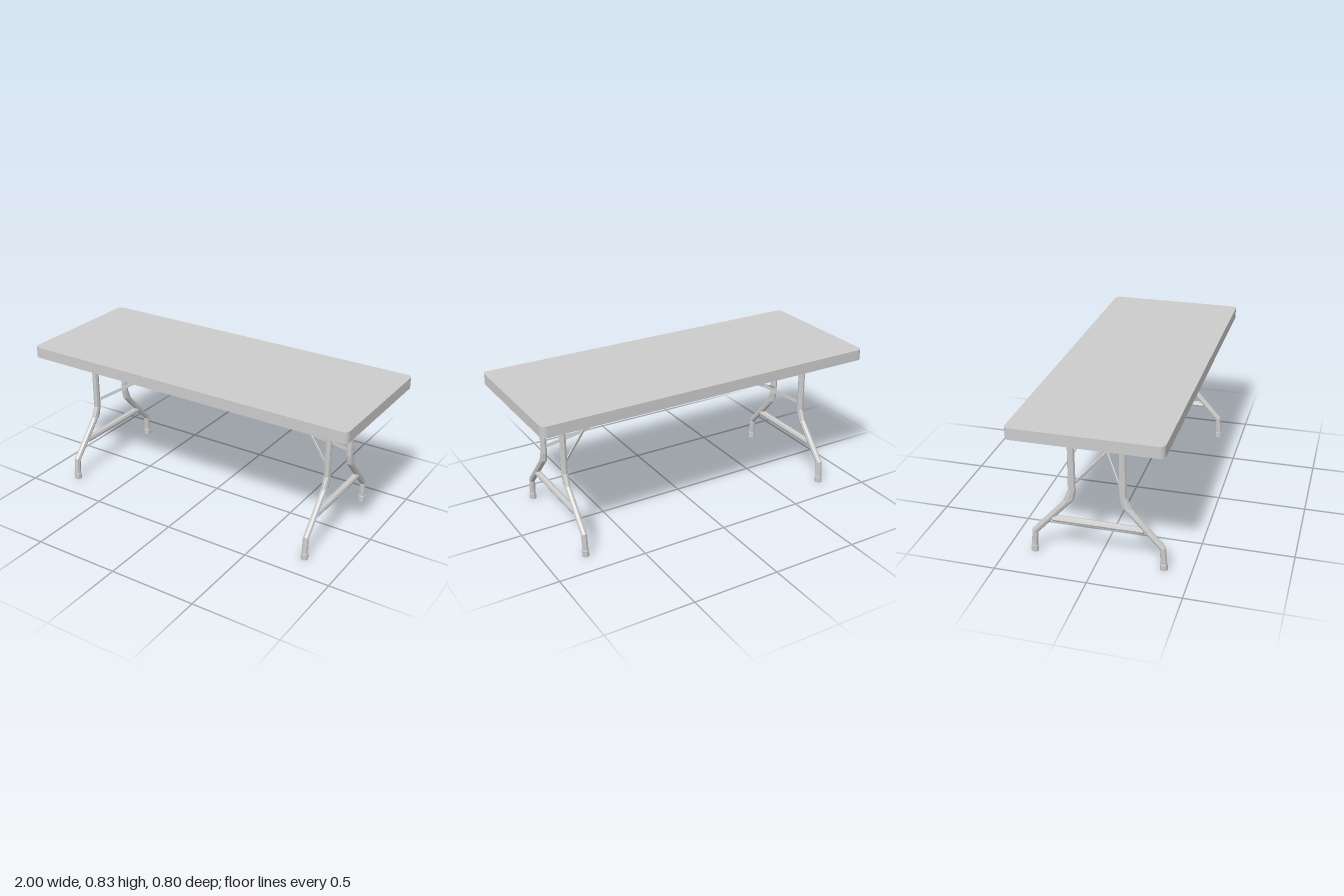
import * as THREE from 'three';

const material = new THREE.MeshStandardMaterial({ color: 0xcccccc, flatShading: true });

function part(name, geometry, parent) {
  const mesh = new THREE.Mesh(geometry, material);
  mesh.name = name;
  parent.add(mesh);
  return mesh;
}

// Lofts a low-poly tube through rings [innerZ, innerY, outerZ, outerY, halfX], top to bottom
function loftLeg(rings, sides = 8) {
  const pos = [], index = [];
  for (const [iz, iy, oz, oy, hx] of rings) {
    for (let j = 0; j < sides; j++) {
      const a = (j / sides) * Math.PI * 2, c = Math.cos(a) / 2;
      pos.push(Math.sin(a) * hx, (iy + oy) / 2 + (oy - iy) * c, (iz + oz) / 2 + (oz - iz) * c);
    }
  }
  for (let i = 0; i < rings.length - 1; i++) {
    for (let j = 0; j < sides; j++) {
      const k = (j + 1) % sides, a = i * sides, b = a + sides;
      index.push(a + j, b + j, a + k, a + k, b + j, b + k);
    }
  }
  // Close the bottom end
  const last = (rings.length - 1) * sides;
  for (let j = 1; j < sides - 1; j++) index.push(last, last + j + 1, last + j);
  const g = new THREE.BufferGeometry();
  g.setAttribute('position', new THREE.Float32BufferAttribute(pos, 3));
  g.setIndex(index);
  g.computeVertexNormals();
  return g;
}

// Flat bar between two points
function flatBar(name, from, to, parent) {
  const bar = part(name, new THREE.BoxGeometry(0.006, 0.018, from.distanceTo(to)), parent);
  bar.position.copy(from).add(to).multiplyScalar(0.5);
  bar.lookAt(to);
}

function tabletop() {
  const w = 1, d = 0.4, r = 0.03, s = new THREE.Shape();
  s.moveTo(-w + r, -d);
  s.lineTo(w - r, -d);
  s.absarc(w - r, -d + r, r, -Math.PI / 2, 0);
  s.absarc(w - r, d - r, r, 0, Math.PI / 2);
  s.absarc(-w + r, d - r, r, Math.PI / 2, Math.PI);
  s.absarc(-w + r, -d + r, r, Math.PI, Math.PI * 1.5);
  const g = new THREE.ExtrudeGeometry(s, { depth: 0.063, bevelEnabled: false, curveSegments: 5 });
  return g.rotateX(-Math.PI / 2).translate(0, 0.767, 0);
}

function legFrame() {
  const frame = new THREE.Group();
  frame.name = 'legFrame';
  const legX = 0.782;

  const legGeometry = loftLeg([
    [0.116, 0.768, 0.154, 0.768, 0.018],
    [0.114, 0.4, 0.157, 0.4, 0.018],
    [0.124, 0.345, 0.185, 0.335, 0.018],
    [0.33, 0.118, 0.363, 0.135, 0.018],
    [0.336, 0.03, 0.372, 0.03, 0.018],
  ]);
  const footGeometry = loftLeg([
    [0.341, 0.038, 0.367, 0.038, 0.014],
    [0.333, 0.034, 0.374, 0.034, 0.021],
    [0.332, 0, 0.375, 0, 0.021],
  ]);

  for (const side of [1, -1]) {
    const leg = new THREE.Group();
    leg.name = side > 0 ? 'frontLeg' : 'backLeg';
    leg.position.x = legX;
    leg.rotation.y = side > 0 ? 0 : Math.PI;
    part('bentTube', legGeometry, leg);
    part('footCap', footGeometry, leg);
    frame.add(leg);
    // Brace arm from the leg to the hinge
    flatBar('braceArm', new THREE.Vector3(0.77, 0.443, side * 0.118),
      new THREE.Vector3(0.6, 0.543, 0), frame);
  }

  // Spreader between the slanted parts of the legs
  const bar = part('crossBar', new THREE.CylinderGeometry(0.019, 0.019, 0.49, 8), frame);
  bar.rotation.x = Math.PI / 2;
  bar.position.set(legX, 0.217, 0);

  // Thin strut from the hinge to the underside of the top
  const strut = new THREE.Shape([[0.605, 0.529], [0.605, 0.552], [0.19, 0.77], [0.115, 0.77]]
    .map(([x, y]) => new THREE.Vector2(x, y)));
  const strutGeometry = new THREE.ExtrudeGeometry(strut, { depth: 0.004, bevelEnabled: false });
  part('braceStrut', strutGeometry.translate(0, 0, -0.002), frame);
  return frame;
}

export function createModel() {
  const model = new THREE.Group();
  model.name = 'foldingTable';
  part('tabletop', tabletop(), model);
  for (const turn of [0, Math.PI]) {
    const frame = legFrame();
    frame.rotation.y = turn;
    model.add(frame);
  }
  return model;
}
